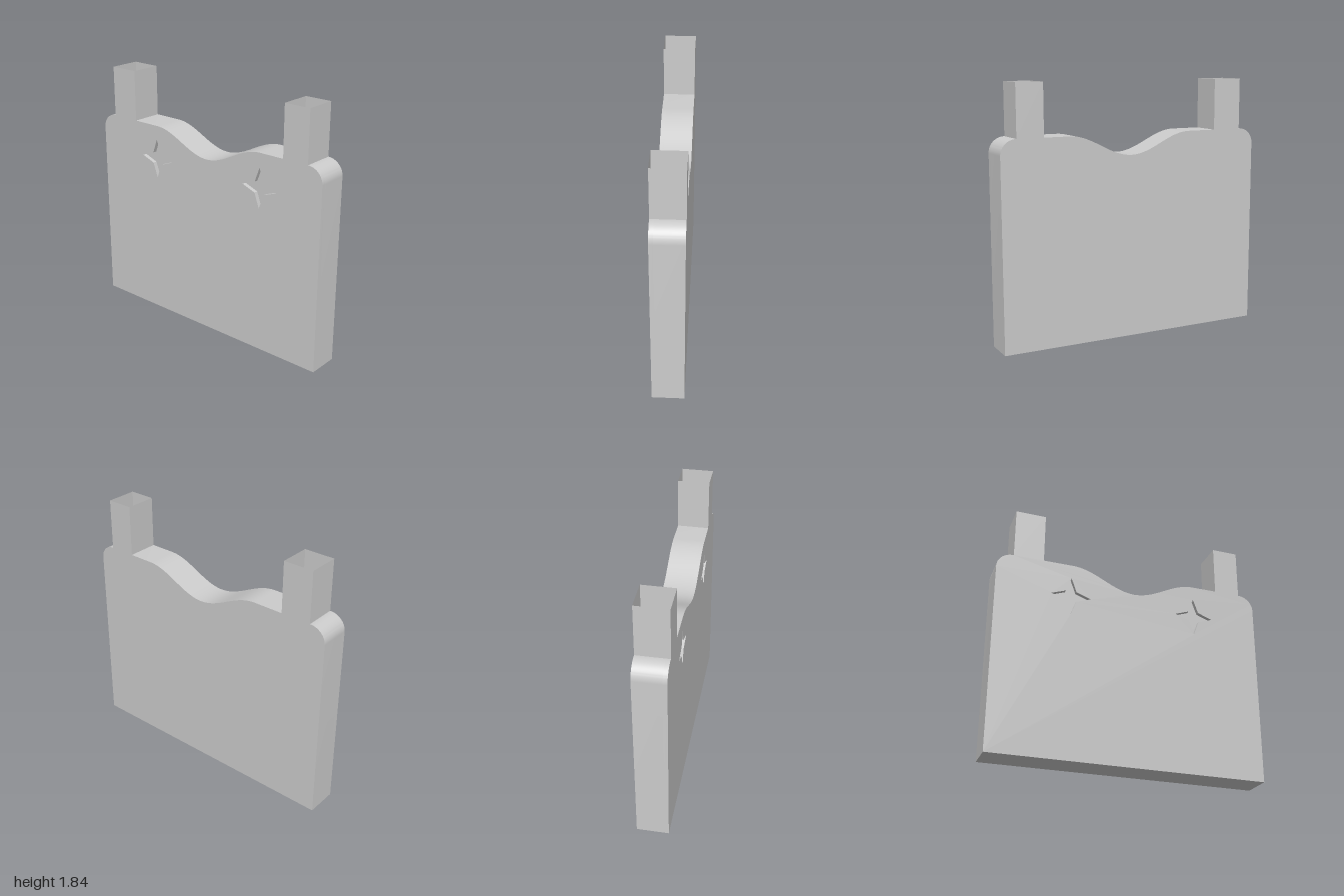
import * as THREE from 'three';
import { toCreasedNormals } from 'three/addons/utils/BufferGeometryUtils.js';

const LEFT = 0.113, RIGHT = -0.115; // the two broad faces
const RECESS = 0.03;
const SHOULDER = 1.47, TOP = 1.84;

// Side outline of the panel: shape x runs along the model's z
function panelOutline() {
  const s = new THREE.Shape();
  s.moveTo(-1, 0);
  s.lineTo(1, 0);
  s.lineTo(1, 1.36);
  s.bezierCurveTo(1, 1.42, 0.95, SHOULDER, 0.885, SHOULDER);
  s.lineTo(0.5, SHOULDER);
  s.bezierCurveTo(0.33, SHOULDER, 0.2, 1.32, 0.03, 1.32);
  s.bezierCurveTo(-0.14, 1.32, -0.27, SHOULDER, -0.44, SHOULDER);
  s.lineTo(-0.885, SHOULDER);
  s.bezierCurveTo(-0.95, SHOULDER, -1, 1.42, -1, 1.36);
  s.closePath();
  return s;
}

// Four-pointed star used as a cut-out
function starPath(cz, cy, outer = 0.145, inner = 0.055) {
  const pts = [];
  for (let i = 0; i < 8; i++) {
    const a = (i * Math.PI) / 4, r = i % 2 ? inner : outer;
    pts.push(new THREE.Vector2(cz + r * Math.cos(a), cy + r * Math.sin(a)));
  }
  return new THREE.Path(pts);
}

// Extrude a side outline between two x positions
function slab(shape, xMax, xMin) {
  const g = new THREE.ExtrudeGeometry(shape, { depth: xMax - xMin, bevelEnabled: false, curveSegments: 20 });
  g.rotateY(-Math.PI / 2).translate(xMax, 0, 0);
  return toCreasedNormals(g, 0.6);
}

export function createModel() {
  const group = new THREE.Group();
  const mat = new THREE.MeshStandardMaterial({ color: 0xcccccc });
  const thin = new THREE.MeshStandardMaterial({ color: 0xcccccc, side: THREE.DoubleSide });
  const add = (name, geometry, material) => {
    const mesh = new THREE.Mesh(geometry, material);
    mesh.name = name;
    group.add(mesh);
  };

  // Solid panel, and a facing layer whose star holes form shallow recesses
  add('panel', slab(panelOutline(), LEFT, RIGHT + RECESS), mat);
  const facing = panelOutline();
  facing.holes.push(starPath(-0.45, 1.22), starPath(0.5, 1.22));
  add('starFacing', slab(facing, RIGHT + RECESS, RIGHT), mat);

  // Open, thin-walled square posts standing on the shoulders
  for (const [name, z0, z1] of [['frontPost', 0.69, 0.885], ['backPost', -0.88, -0.66]]) {
    const g = new THREE.CylinderGeometry(Math.SQRT1_2, Math.SQRT1_2, 1, 4, 1, true);
    g.rotateY(Math.PI / 4).scale(LEFT - RIGHT, TOP - SHOULDER, z1 - z0);
    g.translate((LEFT + RIGHT) / 2, (TOP + SHOULDER) / 2, (z0 + z1) / 2);
    add(name, toCreasedNormals(g, 0.5), thin);
  }
  return group;
}
